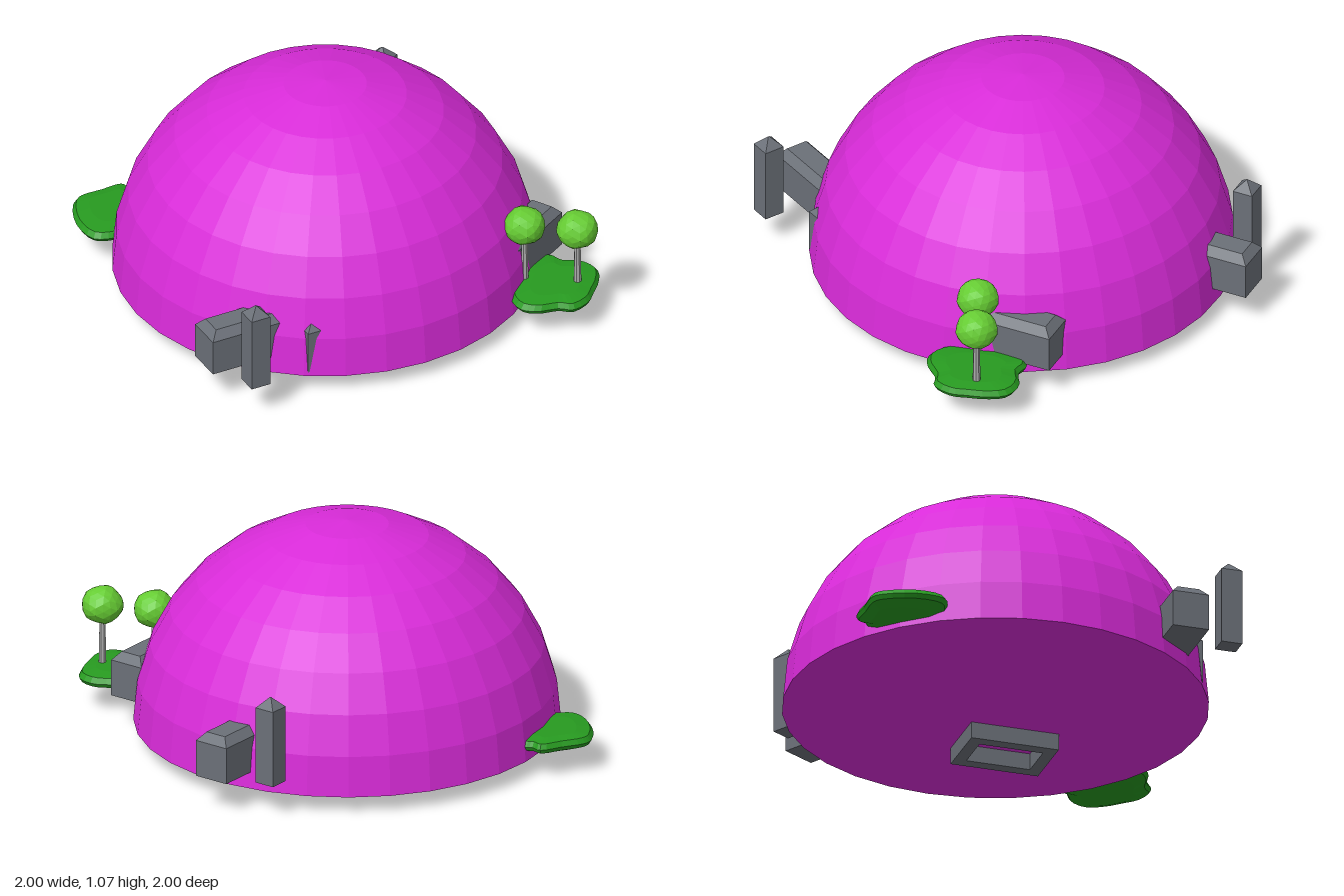
import * as THREE from 'three';

const mat = (color, extra = {}) => new THREE.MeshStandardMaterial({ color, flatShading: true, ...extra });

const MAGENTA = mat(0xd92bd9);
const STONE = mat(0x6b7078);
const GRASS = mat(0x279a20);
const LEAF = mat(0x66cc33);
const BARK = mat(0xaaaaaa);

function add(parent, name, geometry, material, x = 0, y = 0, z = 0) {
  const mesh = new THREE.Mesh(geometry, material);
  mesh.name = name;
  mesh.position.set(x, y, z);
  parent.add(mesh);
  return mesh;
}

// Block standing on y = 0 whose top narrows by `inset` above the eaves
function roofedBlock(w, d, eaves, top, inset) {
  const geo = new THREE.BoxGeometry(w, 2, d, 1, 2, 1);
  const p = geo.attributes.position;
  for (let i = 0; i < p.count; i++) {
    const level = Math.round(p.getY(i)) + 1;
    p.setY(i, [0, eaves, top][level]);
    if (level === 2) {
      p.setX(i, p.getX(i) - Math.sign(p.getX(i)) * inset);
      p.setZ(i, p.getZ(i) - Math.sign(p.getZ(i)) * inset);
    }
  }
  geo.computeVertexNormals();
  return geo;
}

// Lens-shaped slab following a closed outline of [x, z] points
function lawn(outline) {
  const curve = new THREE.CatmullRomCurve3(outline.map(([x, z]) => new THREE.Vector3(x, 0, z)), true);
  const centre = outline.reduce((c, [x, z]) => c.add(new THREE.Vector3(x, 0, z)), new THREE.Vector3())
    .divideScalar(outline.length);
  const profile = [[0, 0.105], [0.65, 0.11], [0.94, 0.13], [1, 0.15], [0.92, 0.175], [0.6, 0.185], [0, 0.185]]
    .map(([r, y]) => new THREE.Vector2(r, y));
  const n = 36;
  const geo = new THREE.LatheGeometry(profile, n);
  const p = geo.attributes.position;
  for (let i = 0; i <= n; i++) {
    const rim = curve.getPoint((i % n) / n).sub(centre);
    profile.forEach((q, j) => {
      p.setXYZ(i * profile.length + j, centre.x + rim.x * q.x, q.y, centre.z + rim.z * q.x);
    });
  }
  geo.computeVertexNormals();
  return geo;
}

// Hall running inwards along local +x, with an optional tower beside it
function building(name, x, z, turn, withTower) {
  const g = new THREE.Group();
  g.name = name;
  add(g, 'hall', roofedBlock(0.48, 0.175, 0.175, 0.215, 0.035), STONE, 0.24, 0, 0);
  if (withTower) add(g, 'tower', roofedBlock(0.097, 0.1, 0.37, 0.42, 0.048), STONE, 0.147, 0, 0.232);
  g.position.set(x, 0.157, z);
  g.rotation.y = turn;
  return g;
}

function tree(x, z) {
  const g = new THREE.Group();
  g.name = 'tree';
  add(g, 'trunk', new THREE.CylinderGeometry(0.014, 0.019, 0.28, 8), BARK, 0, 0.3, 0);
  const crown = new THREE.IcosahedronGeometry(1, 2);
  // Slight lumpiness and a flatter underside
  const p = crown.attributes.position;
  for (let i = 0; i < p.count; i++) {
    const [a, b, c] = [p.getX(i), p.getY(i), p.getZ(i)];
    const k = 1 + 0.04 * Math.sin(5 * a + 3 * c) * Math.cos(4 * b);
    p.setXYZ(i, a * k * 0.097, b * k * (b < 0 ? 0.085 : 0.092), c * k * 0.097);
  }
  crown.computeVertexNormals();
  add(g, 'crown', crown, LEAF, 0, 0.465, 0);
  g.position.set(x, 0, z);
  return g;
}

export function createModel() {
  const model = new THREE.Group();
  model.name = 'domeIsland';

  // Faceted half sphere with a closed underside
  const R = 0.985, C = -0.015, FLOOR = 0.08;
  add(model, 'dome', new THREE.SphereGeometry(R, 32, 8, 0, Math.PI * 2, 0, Math.PI / 2), MAGENTA, C, FLOOR, C);
  add(model, 'domeFloor', new THREE.CircleGeometry(R, 32).rotateX(Math.PI / 2), MAGENTA, C, FLOOR, C);

  // Rectangular frame under the floor
  const frame = new THREE.Shape();
  const hw = 0.152, hd = 0.212, t = 0.058;
  const rect = (path, a, b) => path.moveTo(-a, -b).lineTo(a, -b).lineTo(a, b).lineTo(-a, b).closePath();
  rect(frame, hw, hd);
  frame.holes.push(rect(new THREE.Path(), hw - t, hd - t));
  const frameGeo = new THREE.ExtrudeGeometry(frame, { depth: FLOOR, bevelEnabled: false }).rotateX(-Math.PI / 2);
  add(model, 'undersideFrame', frameGeo, STONE, 0.315, 0, 0.14);

  // Buildings growing out of the dome
  const turned = -Math.PI * 5 / 6;
  model.add(building('frontRightBuilding', -0.98, 0.612, 0, true));
  model.add(building('backLeftBuilding', 0.935, -0.655, turned, true));
  model.add(building('frontLeftBuilding', 0.905, 0.42, turned, false));
  add(model, 'sunkenTower', roofedBlock(0.096, 0.096, 0.21, 0.26, 0.048), STONE, -0.497, 0.1, 0.767);

  // Lawns and trees
  add(model, 'frontLawn', lawn([[0.53, 0.88], [0.59, 0.93], [0.69, 0.955], [0.74, 0.995], [0.835, 0.97], [0.89, 0.915],
    [0.95, 0.85], [0.995, 0.76], [0.96, 0.67], [0.88, 0.62], [0.85, 0.55], [0.75, 0.56], [0.62, 0.66], [0.53, 0.78]]), GRASS);
  add(model, 'backLawn', lawn([[-0.835, -0.525], [-0.7, -0.53], [-0.6, -0.6], [-0.54, -0.72], [-0.555, -0.82],
    [-0.59, -0.845], [-0.61, -0.89], [-0.72, -0.89], [-0.835, -0.89], [-0.88, -0.86], [-0.945, -0.705], [-0.93, -0.565]]), GRASS);
  model.add(tree(0.65, 0.69), tree(0.85, 0.833));
  return model;
}
